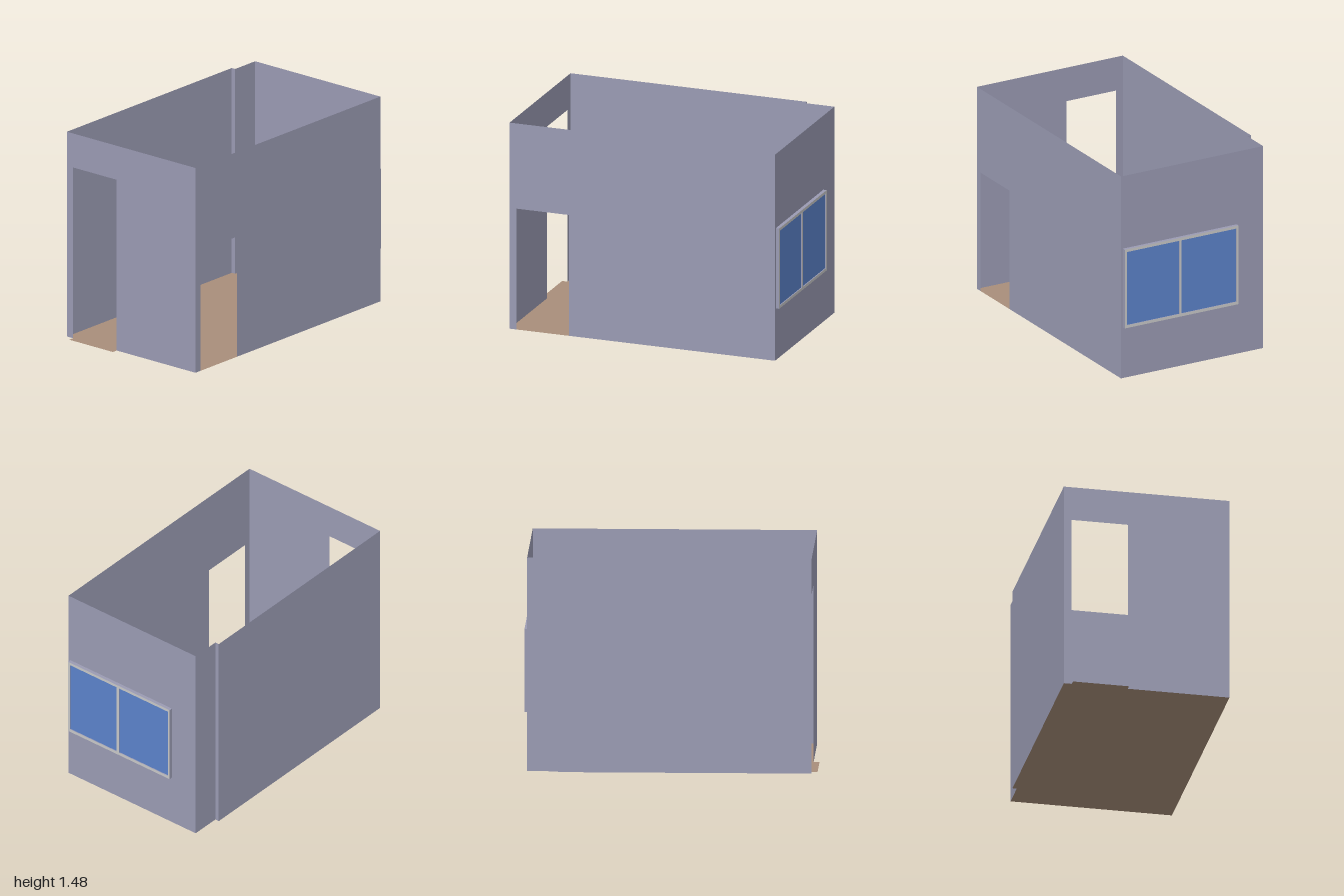
import * as THREE from 'three';

const X0 = -0.96, X1 = 0.975, ZF = 0.575, ZB = -0.575, ZN = -0.545, XN = 0.765, H = 1.475;

const mat = (name, color) => {
  const m = new THREE.MeshStandardMaterial({ color, side: THREE.DoubleSide });
  m.name = name;
  return m;
};

const polygon = (points) => new THREE.Shape(points.map(([x, y]) => new THREE.Vector2(x, y)));
const rect = (a, b, c, d) => polygon([[a, c], [b, c], [b, d], [a, d]]);

// Upright outline with an optional doorway [from, to, height] reaching the floor
function wallShape(a, b, door) {
  const pts = [[a, 0]];
  if (door) pts.push([door[0], 0], [door[0], door[2]], [door[1], door[2]], [door[1], 0]);
  pts.push([b, 0], [b, H], [a, H]);
  return polygon(pts);
}

export function createModel() {
  const room = new THREE.Group();
  room.name = 'room';
  const wallMat = mat('wall lavender', 0x9a9bb3);
  const floorMat = mat('floor brown', 0xa88e7a);
  const frameMat = mat('frame grey', 0xc9c9c9);
  const glassMat = mat('glass blue', 0x5c83cb);

  const add = (name, geometry, material, parent = room) => {
    const m = new THREE.Mesh(geometry, material);
    m.name = name;
    parent.add(m);
    return m;
  };
  // Walls across the room use x; walls along its depth use u = -z
  const acrossWall = (name, shape, z) =>
    add(name, new THREE.ShapeGeometry(shape).translate(0, 0, z), wallMat);
  const depthWall = (name, shape, x) =>
    add(name, new THREE.ShapeGeometry(shape).rotateY(Math.PI / 2).translate(x, 0, 0), wallMat);

  // Walls with two doorways, a window opening and a small jog at the back
  acrossWall('frontWall', wallShape(X0, X1, [-0.91, -0.525, 0.865]), ZF);
  acrossWall('backWall', wallShape(X0, XN), ZB);
  acrossWall('backWallRecess', wallShape(XN, X1), ZN);
  depthWall('backWallReturn', wallShape(-ZN, -ZB), XN);
  depthWall('sideDoorWall', wallShape(-ZF, -ZB, [0.13, 0.52, 1.23]), X0);
  const windowWall = wallShape(-ZF, -ZN);
  windowWall.holes.push(rect(-0.543, 0.32, 0.39, 0.925));
  depthWall('windowWall', windowWall, X1);

  // Floor with a threshold through the side doorway (shape y = -z)
  const floor = polygon([
    [X0, -ZF], [X1, -ZF], [X1, -ZN], [XN, -ZN], [XN, -ZB], [X0, -ZB],
    [X0, 0.52], [-1, 0.52], [-1, 0.13], [X0, 0.13],
  ]);
  add('floor', new THREE.ShapeGeometry(floor).rotateX(-Math.PI / 2), floorMat);

  // Two-pane window standing proud of the wall
  const window = new THREE.Group();
  window.name = 'window';
  room.add(window);
  const panes = [[-0.543, -0.13], [-0.112, 0.32]];
  const frame = rect(-0.56, 0.336, 0.37, 0.945);
  for (const [a, b] of panes) frame.holes.push(rect(a, b, 0.39, 0.925));
  const frameGeo = new THREE.ExtrudeGeometry(frame, { depth: 0.025, bevelEnabled: false });
  add('windowFrame', frameGeo.rotateY(Math.PI / 2).translate(X1, 0, 0), [frameMat, wallMat], window);
  for (const [a, b] of panes) {
    const pane = new THREE.ShapeGeometry(rect(a, b, 0.39, 0.925));
    add('windowPane', pane.rotateY(Math.PI / 2).translate(0.993, 0, 0), glassMat, window);
  }
  return room;
}
